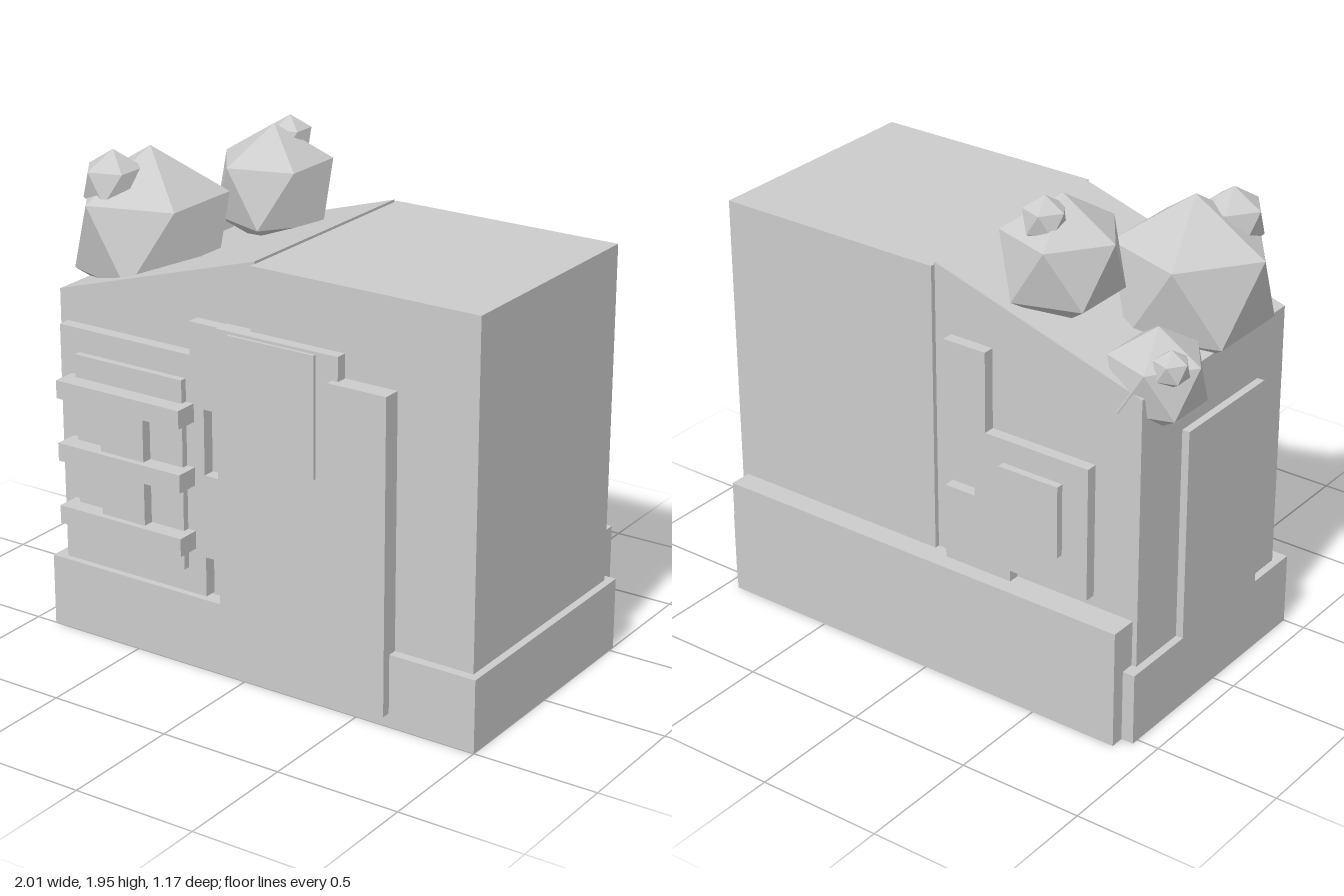
import * as THREE from 'three';

const stone = new THREE.MeshStandardMaterial({ color: 0xcccccc, flatShading: true });
stone.name = 'plain grey';

export function createModel() {
  const model = new THREE.Group();
  model.name = 'smallBuilding';

  const add = (name, geometry) => {
    const mesh = new THREE.Mesh(geometry, stone);
    mesh.name = name;
    model.add(mesh);
    return mesh;
  };

  // Box given by its limits on each axis
  const box = (name, x0, x1, y0, y1, z0, z1) =>
    add(name, new THREE.BoxGeometry(x1 - x0, y1 - y0, z1 - z0))
      .position.set((x0 + x1) / 2, (y0 + y1) / 2, (z0 + z1) / 2);

  // Outline in x and y, extruded from z0 to z1
  const slab = (name, points, z0, z1) => {
    const shape = new THREE.Shape(points.map(([x, y]) => new THREE.Vector2(x, y)));
    const geometry = new THREE.ExtrudeGeometry(shape, { depth: z1 - z0, bevelEnabled: false });
    add(name, geometry.translate(0, 0, z0));
  };

  // Icosahedron standing on a vertex, with one upper ring vertex towards -x
  const tilt = Math.atan2(2, 1 + Math.sqrt(5));
  const bush = (name, x, y, z, radius) => {
    const geometry = new THREE.IcosahedronGeometry(radius, 0);
    geometry.rotateZ(tilt).rotateY(Math.PI / 2);
    // Turn the ring so that its first upper vertex points to -x
    const p = geometry.attributes.position;
    for (let i = 0; i < p.count; i++) {
      if (Math.abs(p.getY(i) - radius * 0.4472) < radius * 0.02) {
        geometry.rotateY(Math.PI + Math.atan2(p.getZ(i), p.getX(i)));
        break;
      }
    }
    add(name, geometry.translate(x, y, z));
  };

  // Main volumes
  box('base', -0.91, 1, 0, 0.29, -0.53, 0.5);
  box('mainBlock', 0.015, 0.97, 0, 1.63, -0.495, 0.463);
  slab('slopedWing', [[-0.88, 0], [0.018, 0], [0.018, 1.64], [-0.88, 1.37]], -0.475, 0.44);
  box('backPlinth', -0.86, 0.945, 0, 0.475, -0.585, -0.4);
  box('sidePanel', -0.91, -0.85, 0.2, 1.145, -0.22, 0.27);

  // Front wall panel, notched beside the door
  slab('frontPanel', [
    [-0.845, 0.3], [-0.18, 0.3], [-0.18, 0.46], [-0.105, 0.46], [-0.105, 0.79], [-0.18, 0.79],
    [-0.18, 1.05], [-0.105, 1.05], [-0.105, 1.38], [-0.24, 1.38], [-0.24, 1.25], [-0.845, 1.25],
  ], 0.42, 0.49);

  // Window with post and slats
  box('window', -0.755, -0.26, 0.4, 1.155, 0.45, 0.517);
  box('windowPost', -0.61, -0.41, 0.52, 1.03, 0.47, 0.56);
  for (const y of [0.485, 0.74, 0.992]) box('windowSlat', -0.795, -0.225, y, y + 0.072, 0.48, 0.585);

  // Door
  box('door', -0.105, 0.42, 0.055, 1.383, 0.42, 0.508);
  box('doorPane', -0.05, 0.325, 0.9, 1.372, 0.45, 0.52);
  box('doorPillar', 0.395, 0.64, 0.055, 1.29, 0.42, 0.537);

  // Back wall panel and hatch
  slab('backPanel', [
    [-0.35, 0.45], [-0.055, 0.45], [-0.055, 0.78], [-0.19, 0.78], [-0.19, 1.055], [-0.055, 1.055],
    [-0.055, 1.375], [-0.24, 1.375], [-0.24, 1.055], [-0.69, 1.055], [-0.69, 0.52], [-0.35, 0.52],
  ], -0.52, -0.45);
  box('backHatch', -0.58, -0.32, 0.67, 0.96, -0.55, -0.48);

  // Faceted bushes on the roof
  bush('frontBush', -0.69, 1.55, 0.115, 0.33);
  bush('frontBud', -0.765, 1.755, 0.245, 0.128);
  bush('backBush', -0.38, 1.68, -0.25, 0.25);
  bush('backBud', -0.365, 1.857, -0.335, 0.09);
  bush('cornerBush', -0.83, 1.375, -0.31, 0.197);
  bush('cornerBud', -0.935, 1.47, -0.385, 0.072);

  return model;
}
